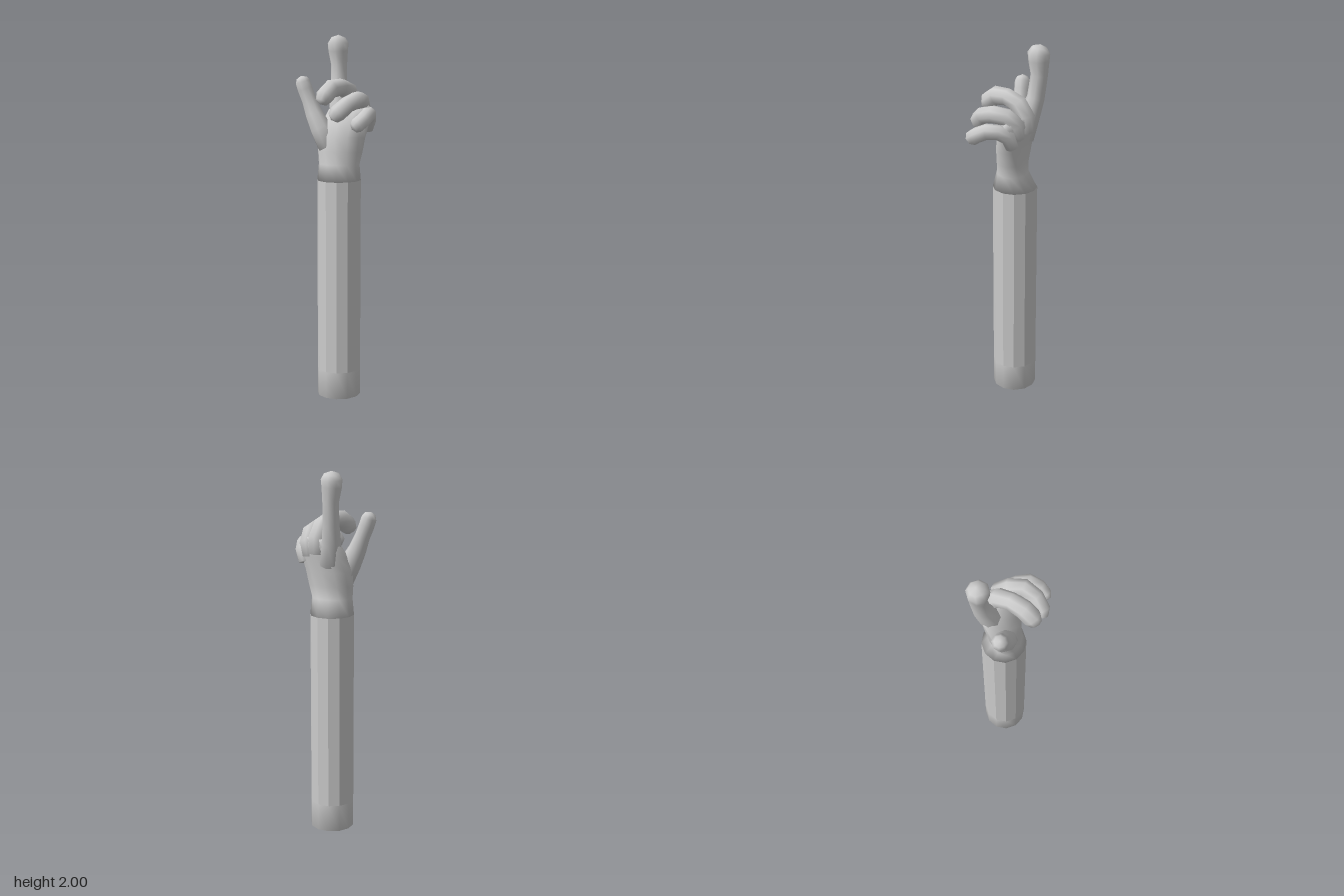
import * as THREE from 'three';

const V = (x, y, z) => new THREE.Vector3(x, y, z);
const material = new THREE.MeshStandardMaterial({ color: 0xcccccc });
const flatMaterial = new THREE.MeshStandardMaterial({ color: 0xcccccc, flatShading: true });

// Smooth closed skin through rings {c, u, v} (centre and two half-axes), with a pole at each end
function loft(rings, sides, startPole, endPole) {
  const pos = [], index = [];
  for (const { c, u, v } of rings) {
    for (let j = 0; j < sides; j++) {
      const a = (j / sides) * Math.PI * 2;
      const p = c.clone().addScaledVector(u, Math.cos(a)).addScaledVector(v, Math.sin(a));
      pos.push(p.x, p.y, p.z);
    }
  }
  const s = pos.length / 3, e = s + 1, last = (rings.length - 1) * sides;
  pos.push(...startPole.toArray(), ...endPole.toArray());
  for (let j = 0; j < sides; j++) {
    const k = (j + 1) % sides;
    index.push(s, k, j, e, last + j, last + k);
    for (let i = 0; i < rings.length - 1; i++) {
      const a = i * sides + j, b = i * sides + k;
      index.push(a, b, a + sides, b, b + sides, a + sides);
    }
  }
  const g = new THREE.BufferGeometry();
  g.setAttribute('position', new THREE.Float32BufferAttribute(pos, 3));
  g.setIndex(index);
  g.computeVertexNormals();
  return g;
}

// Finger from a list of [x, y, z, radius]
function finger(rows, sides = 8) {
  const pts = rows.map(r => V(r[0], r[1], r[2]));
  const u = V(1, 0, 0.2);
  let t;
  const rings = pts.map((c, i) => {
    t = pts[Math.min(i + 1, pts.length - 1)].clone().sub(pts[Math.max(i - 1, 0)]).normalize();
    u.addScaledVector(t, -u.dot(t)).normalize();
    const r = rows[i][3];
    return { c, u: u.clone().multiplyScalar(r), v: t.clone().cross(u).multiplyScalar(r) };
  });
  const end = pts[pts.length - 1].clone().addScaledVector(t, rows[rows.length - 1][3] * 0.4);
  return loft(rings, sides, pts[0], end);
}

// Horizontal oval ring: centre, half-length, half-depth, turn in the xz plane
function oval([x, y, z, a, b, deg]) {
  const r = THREE.MathUtils.degToRad(deg), c = Math.cos(r), s = Math.sin(r);
  return { c: V(x, y, z), u: V(c * a, 0, s * a), v: V(s * b, 0, -c * b) };
}

export function createModel() {
  const group = new THREE.Group();
  const add = (name, geometry, mat = material) => {
    const mesh = new THREE.Mesh(geometry, mat);
    mesh.name = name;
    group.add(mesh);
    return mesh;
  };

  // Faceted forearm above a smooth end with a hollowed base
  add('forearm', new THREE.CylinderGeometry(0.12, 0.12, 1.07, 12, 1, true), flatMaterial)
    .position.set(0.015, 0.685, -0.04);
  const base = [[0, 0.045], [0.08, 0.035], [0.12, 0], [0.12, 0.15]].map(p => new THREE.Vector2(...p));
  add('forearmBase', new THREE.LatheGeometry(base, 12)).position.set(0.015, 0, -0.04);

  // Wrist and palm, turning as they rise to the slanted row of knuckles
  const palm = [
    [0.015, 1.22, -0.04, 0.12, 0.12, 0],
    [0.017, 1.31, -0.027, 0.113, 0.085, 4],
    [0.022, 1.38, -0.03, 0.128, 0.085, 12],
    [0.03, 1.46, -0.035, 0.142, 0.085, 20],
    [0.055, 1.54, -0.045, 0.147, 0.08, 27],
    [0.075, 1.6, -0.06, 0.145, 0.065, 33],
    [0.085, 1.64, -0.075, 0.115, 0.045, 38],
  ].map(oval);
  add('palm', loft(palm, 12, V(0.015, 1.22, -0.04), V(0.085, 1.65, -0.08)));

  // Raised index finger, curled fingers and outstretched thumb
  const digits = {
    indexFinger: [[0.02, 1.5, -0.08, 0.06], [0.005, 1.62, -0.115, 0.056], [0, 1.72, -0.147, 0.047],
      [0, 1.84, -0.163, 0.046], [-0.005, 1.915, -0.16, 0.056], [-0.005, 1.955, -0.16, 0.06],
      [-0.005, 1.985, -0.165, 0.042]],
    middleFinger: [[0.085, 1.56, -0.09, 0.05], [0.083, 1.64, -0.095, 0.052], [0.065, 1.7, -0.06, 0.05],
      [0.03, 1.728, 0, 0.046], [-0.015, 1.722, 0.06, 0.05], [-0.045, 1.685, 0.098, 0.05],
      [-0.06, 1.655, 0.113, 0.035]],
    ringFinger: [[0.13, 1.54, -0.05, 0.045], [0.14, 1.61, -0.05, 0.05], [0.138, 1.655, 0, 0.047],
      [0.125, 1.665, 0.07, 0.047], [0.08, 1.645, 0.125, 0.044], [0.03, 1.6, 0.15, 0.046],
      [0.005, 1.575, 0.152, 0.034]],
    littleFinger: [[0.165, 1.5, -0.03, 0.035], [0.18, 1.56, -0.01, 0.042], [0.185, 1.588, 0.04, 0.04],
      [0.188, 1.592, 0.1, 0.042], [0.165, 1.565, 0.15, 0.042], [0.135, 1.54, 0.175, 0.042],
      [0.118, 1.527, 0.182, 0.03]],
    thumb: [[-0.04, 1.4, -0.03, 0.06], [-0.085, 1.5, -0.04, 0.06], [-0.125, 1.58, -0.055, 0.05],
      [-0.152, 1.65, -0.065, 0.042], [-0.175, 1.71, -0.068, 0.043], [-0.188, 1.75, -0.07, 0.042],
      [-0.194, 1.771, -0.07, 0.03]],
  };
  for (const [name, rows] of Object.entries(digits)) add(name, finger(rows));

  return group;
}
